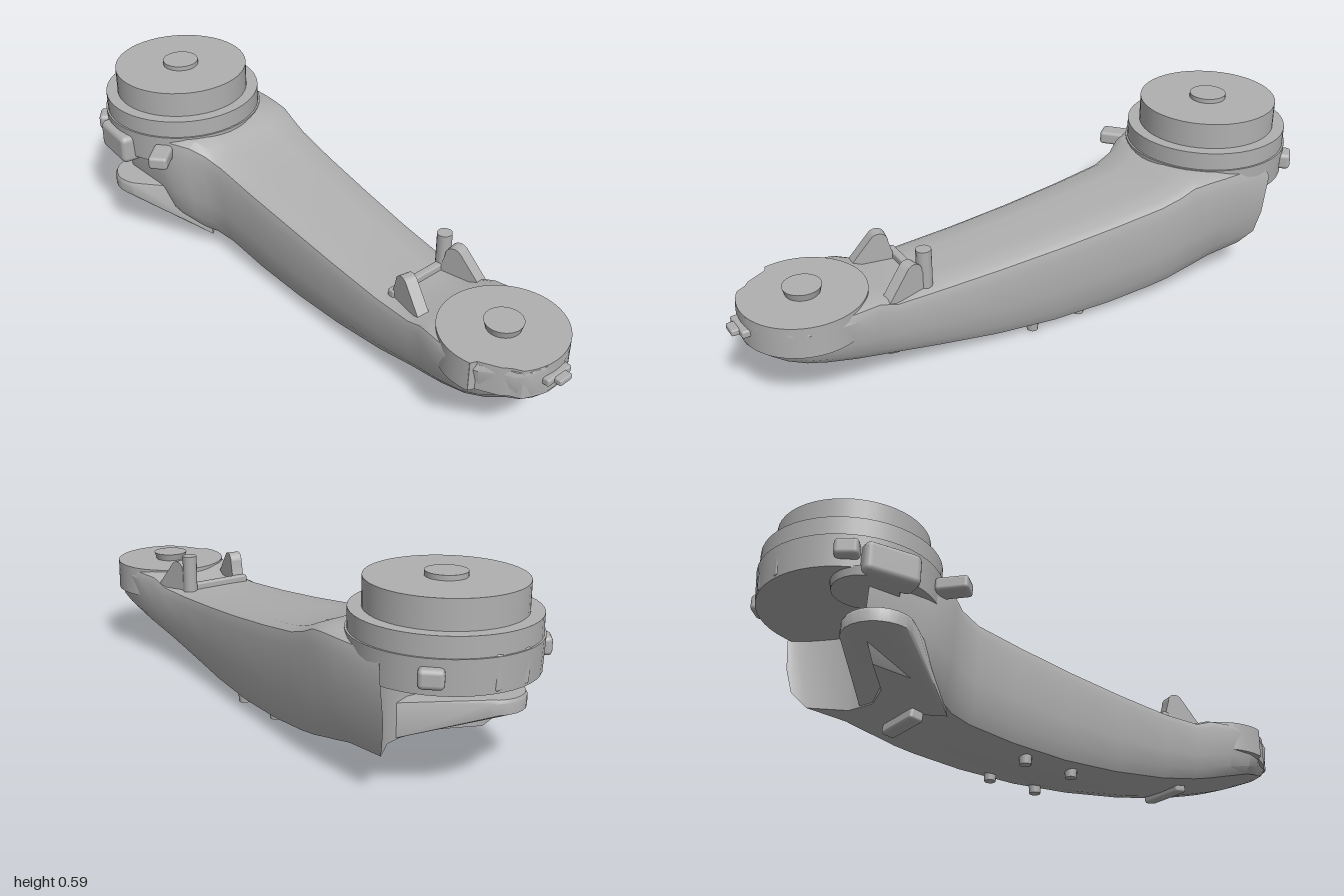
import * as THREE from 'three';
import { toCreasedNormals } from 'three/addons/utils/BufferGeometryUtils.js';
import { ConvexGeometry } from 'three/addons/geometries/ConvexGeometry.js';
import { RoundedBoxGeometry } from 'three/addons/geometries/RoundedBoxGeometry.js';

// Cross-section columns: across the width, with top and bottom heights (0..1)
const COLS = [-1, -0.95, -0.82, -0.4, 0, 0.4, 0.82, 0.95, 1];
const TOP = [0.84, 0.95, 0.99, 1, 1, 1, 0.99, 0.95, 0.84];
const LOW = [0.42, 0.2, 0.06, 0.01, 0, 0.01, 0.06, 0.2, 0.42];

// Stations along the arm: z, left edge, right edge, bottom, top
const STATIONS = [
  [0.958, -0.04, 0.05, 0.213, 0.318],
  [0.945, -0.08, 0.085, 0.208, 0.318],
  [0.92, -0.112, 0.125, 0.198, 0.318],
  [0.88, -0.128, 0.165, 0.183, 0.318],
  [0.83, -0.165, 0.19, 0.166, 0.318],
  [0.77, -0.182, 0.197, 0.147, 0.318],
  [0.68, -0.175, 0.19, 0.118, 0.318],
  [0.6, -0.16, 0.178, 0.094, 0.315],
  [0.54, -0.15, 0.172, 0.08, 0.292],
  [0.4, -0.143, 0.172, 0.05, 0.292],
  [0.2, -0.136, 0.193, 0.024, 0.31],
  [0, -0.13, 0.217, 0.013, 0.333],
  [-0.2, -0.127, 0.24, 0.019, 0.36],
  [-0.36, -0.125, 0.26, 0.037, 0.386],
  [-0.43, -0.14, 0.27, 0.048, 0.408],
  [-0.48, -0.17, 0.275, 0.058, 0.43],
  [-0.54, -0.2, 0.28, 0.07, 0.434],
  [-0.6, -0.21, 0.283, 0.084, 0.434],
  [-0.62, -0.21, 0.28, 0.09, 0.434],
];

function armGeometry() {
  const n = COLS.length, ring = 2 * n, last = STATIONS.length - 1;
  const pos = [], index = [];
  STATIONS.forEach(([z, l, r, b, t], k) => {
    const mid = (l + r) / 2, half = (r - l) / 2;
    for (let i = 0; i < ring; i++) {
      const low = i >= n, j = low ? ring - 1 - i : i, u = COLS[j];
      // the rear wall is hollowed as a vertical trough
      const dz = k === last ? -0.17 * u * u : 0;
      pos.push(mid + half * u * (low ? 0.93 : 1), b + (t - b) * (low ? LOW : TOP)[j], z + dz);
    }
  });
  for (let k = 0; k < last; k++) for (let i = 0; i < ring; i++) {
    const a = k * ring + i, b = k * ring + (i + 1) % ring;
    index.push(a, b, b + ring, a, b + ring, a + ring);
  }
  for (let j = 0; j < n - 1; j++) {
    const t0 = j, t1 = j + 1, b0 = ring - 1 - j, b1 = ring - 2 - j, o = last * ring;
    index.push(b0, b1, t1, b0, t1, t0);
    index.push(o + b0, o + t1, o + b1, o + b0, o + t0, o + t1);
  }
  const g = new THREE.BufferGeometry();
  g.setAttribute('position', new THREE.Float32BufferAttribute(pos, 3));
  g.setIndex(index);
  return toCreasedNormals(g, 0.6);
}

export function createModel() {
  const model = new THREE.Group();
  model.name = 'armLink';
  const grey = new THREE.MeshStandardMaterial({ color: 0xb0b0b0 });
  grey.name = 'grey';

  const add = (name, geo, x = 0, y = 0, z = 0, ry = 0, rx = 0) => {
    const m = new THREE.Mesh(geo, grey);
    m.name = name;
    m.position.set(x, y, z);
    m.rotation.set(rx, ry, 0);
    model.add(m);
    return m;
  };
  const disc = (name, x, z, y0, y1, rTop, rLow = rTop, sides = 48) =>
    add(name, new THREE.CylinderGeometry(rTop, rLow, y1 - y0, sides), x, (y0 + y1) / 2, z);
  const block = (name, w, h, d, x, y, z, ry = 0, rx = 0) =>
    add(name, new RoundedBoxGeometry(w, h, d, 2, Math.min(w, h, d) * 0.25), x, y, z, ry, rx);

  add('armBody', armGeometry());

  // Large joint: stepped turntable
  const cx = 0.008, cz = -0.733;
  disc('jointCollar', cx, cz, 0.335, 0.435, 0.271, 0.266);
  disc('jointRing', cx, cz, 0.43, 0.494, 0.265);
  disc('jointDrum', cx, cz, 0.49, 0.58, 0.226);
  disc('jointHub', cx, cz, 0.575, 0.595, 0.06, 0.06, 32);

  // Tabs around the collar
  block('sideTab', 0.08, 0.1, 0.17, -0.244, 0.362, -0.755, -0.12);
  block('frontTab', 0.1, 0.045, 0.065, -0.235, 0.385, -0.535, 0.7);
  block('rearTabLeft', 0.07, 0.055, 0.07, 0.206, 0.385, -0.905, 0.8);
  block('rearTabRight', 0.07, 0.055, 0.07, -0.214, 0.385, -0.87, -0.7);
  block('rearPad', 0.12, 0.1, 0.03, cx, 0.39, -0.982);

  // Hook below the joint, facing a round boss across the gap
  const pts = [[-0.1, 0.052, -0.45], [0.1, 0.09, -0.62], [-0.1, 0.215, -0.5], [0.1, 0.2, -0.62]]
    .map(p => new THREE.Vector3(...p));
  for (let i = 0; i < 24; i++) {
    const a = i / 24 * Math.PI * 2;
    for (const [y, r] of [[0.222, 0.1], [0.212, 0.105], [0.178, 0.105]])
      pts.push(new THREE.Vector3(-0.175 + r * Math.cos(a), y, -0.735 + r * Math.sin(a)));
  }
  add('lowerHook', toCreasedNormals(new ConvexGeometry(pts), 0.5));
  disc('undersideBoss', -0.165, -0.78, 0.312, 0.34, 0.1, 0.095, 32);

  // Small joint: flat rim with a notch, and its hub
  const rim = new THREE.Shape();
  rim.absarc(0.007, 0.77, 0.191, Math.PI * 0.93, Math.PI * 2.68, false);
  rim.lineTo(-0.112, 0.9);
  rim.lineTo(-0.128, 0.885);
  rim.lineTo(-0.16, 0.82);
  rim.lineTo(-0.18, 0.81);
  const rimGeo = new THREE.ExtrudeGeometry(rim, { depth: 0.1, bevelEnabled: false, curveSegments: 40 });
  rimGeo.rotateX(Math.PI / 2);
  add('smallJointRim', toCreasedNormals(rimGeo, 0.5), 0, 0.321, 0);
  disc('smallJointHub', 0.007, 0.77, 0.315, 0.345, 0.059, 0.05, 32);
  block('frontClip', 0.1, 0.024, 0.04, 0.008, 0.272, 0.958);
  block('frontClipTip', 0.05, 0.02, 0.04, 0.008, 0.272, 0.98);

  // Bracket behind the small joint
  block('bracketBar', 0.22, 0.03, 0.025, 0.005, 0.298, 0.432);
  for (const [s, x] of [[-1, -0.092], [1, 0.132]]) {
    const lug = new THREE.Shape();
    lug.moveTo(-0.075, 0);
    lug.lineTo(-0.055, 0.07);
    lug.absarc(-0.025, 0.072, 0.03, Math.PI, Math.PI * 0.2, true);
    lug.lineTo(0.075, 0);
    const g = new THREE.ExtrudeGeometry(lug, { depth: 0.04, bevelEnabled: false, curveSegments: 8 });
    g.translate(0, 0, -0.02);
    g.rotateY(-Math.PI / 2);
    add('bracketLug', toCreasedNormals(g, 0.6), x, 0.284, 0.505, s * 0.2);
  }
  disc('bracketPost', 0.122, 0.43, 0.28, 0.413, 0.024, 0.024, 12);

  // Underside: two long bars and four pegs
  block('frontBar', 0.16, 0.035, 0.045, 0.02, 0.077, 0.53, 0, -0.15);
  block('rearBar', 0.16, 0.035, 0.045, 0.03, 0.055, -0.52, 0, 0.12);
  for (const x of [-0.04, 0.142]) for (const z of [0.06, -0.12])
    disc('peg', x, z, 0.002, 0.04, 0.021, 0.018, 12);

  return model;
}
